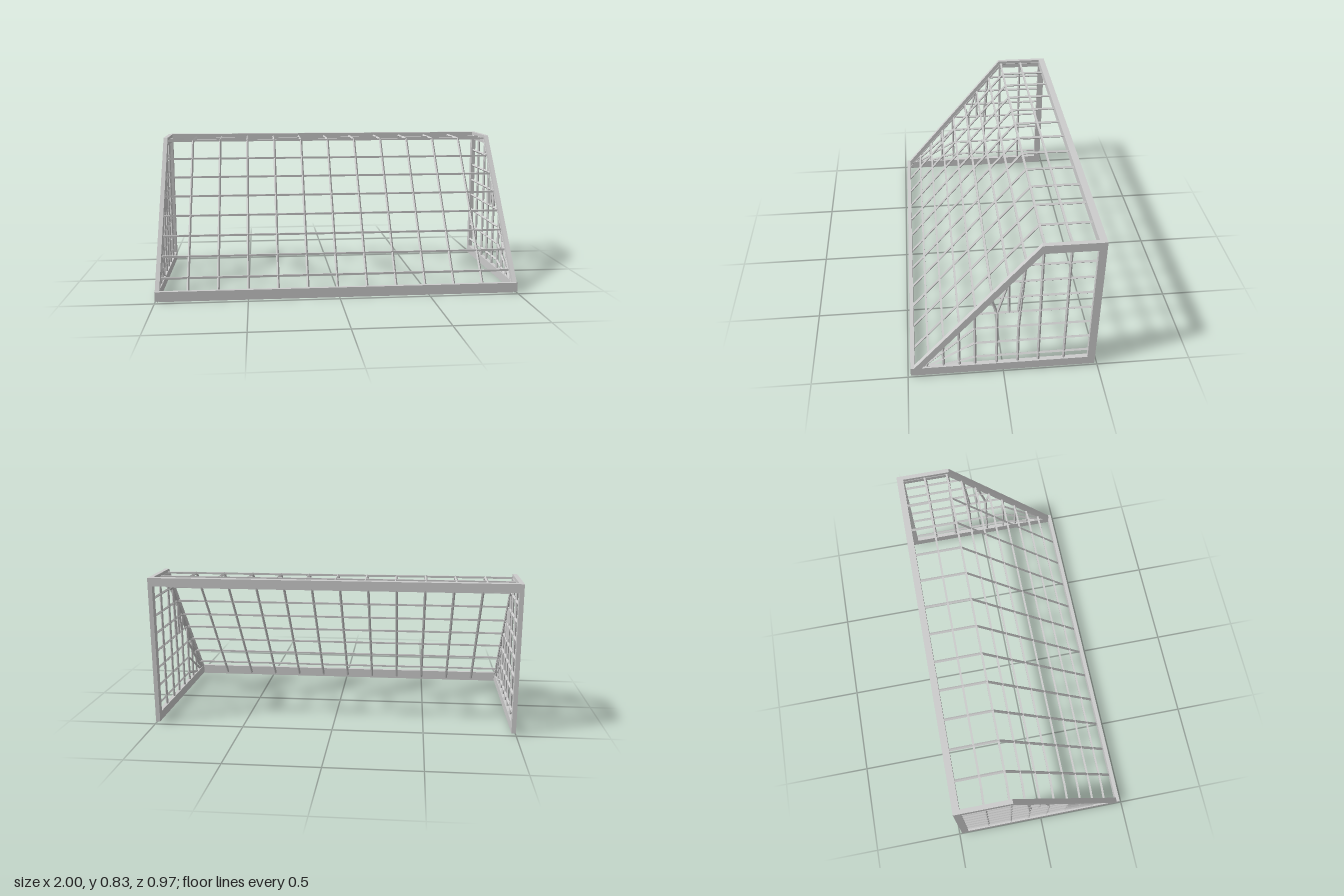
import * as THREE from 'three';
import { mergeGeometries } from 'three/addons/utils/BufferGeometryUtils.js';

const material = new THREE.MeshStandardMaterial({ color: 0xcccccc, flatShading: true });
const T = 0.024; // thickness of the side frames
const NET_X = 0.986; // plane of the side nets
const CORD = 0.0078; // cord radius
const UP = new THREE.Vector3(0, 1, 0);

function add(parent, geometry, name) {
  const mesh = new THREE.Mesh(geometry, material);
  mesh.name = name;
  parent.add(mesh);
  return mesh;
}

// Four-sided cord along a list of [x, y, z] points, turned about its own axis
function cord(points, turn = 0) {
  const pieces = [];
  for (let i = 0; i < points.length - 1; i++) {
    const a = new THREE.Vector3(...points[i]);
    const b = new THREE.Vector3(...points[i + 1]);
    const dir = b.clone().sub(a);
    const g = new THREE.CylinderGeometry(CORD, CORD, dir.length() + 0.004, 4);
    g.rotateY(turn);
    g.applyQuaternion(new THREE.Quaternion().setFromUnitVectors(UP, dir.normalize()));
    const mid = a.add(b).multiplyScalar(0.5);
    pieces.push(g.translate(mid.x, mid.y, mid.z));
  }
  return mergeGeometries(pieces);
}

// Closed side frame, drawn as [z, y] corners
function sideFrameGeometry() {
  const toVec = ([z, y]) => new THREE.Vector2(-z, y);
  const shape = new THREE.Shape([
    [0.485, 0.01], [-0.485, 0.01], [-0.485, 0.83], [-0.175, 0.83], [0.467, 0.06], [0.485, 0.06],
  ].map(toVec));
  shape.holes.push(new THREE.Path([
    [0.425, 0.06], [-0.18, 0.783], [-0.445, 0.783], [-0.445, 0.06],
  ].map(toVec)));
  const g = new THREE.ExtrudeGeometry(shape, { depth: T, bevelEnabled: false });
  return g.rotateY(Math.PI / 2).translate(-T / 2, 0, 0);
}

// Depth of the sloping net at a given height
const slopeZ = (y) => 0.39 - (y - 0.11) * 0.825;

// Side net cords as [z, y] paths
function sideNetPaths() {
  const paths = [];
  // level cords reaching the sloping bar
  for (const y of [0.41, 0.51, 0.61, 0.71]) paths.push([[-0.46, y], [slopeZ(y), y]]);
  // level cords gathered towards the low corner
  paths.push([[-0.46, 0.31], [0.15, 0.31], [0.31, 0.16], [0.42, 0.06]]);
  paths.push([[-0.46, 0.207], [0.15, 0.207], [0.31, 0.11], [0.41, 0.05]]);
  paths.push([[-0.46, 0.107], [0.15, 0.107], [0.31, 0.062], [0.37, 0.04]]);
  // upright cords
  for (const z of [-0.318, -0.183]) paths.push([[z, 0.04], [z, 0.8]]);
  paths.push([[-0.075, 0.04], [-0.075, 0.31], [-0.1, 0.71]]);
  paths.push([[-0.07, 0.41], [-0.1, 0.7]]);
  paths.push([[0.035, 0.04], [0.035, 0.41], [-0.02, 0.61]]);
  paths.push([[0.035, 0.41], [0.07, 0.51]]);
  paths.push([[-0.025, 0.41], [-0.02, 0.6]]);
  for (const [z, top] of [[0.148, 0.41], [0.23, 0.31], [0.312, 0.21], [0.398, 0.1]]) {
    paths.push([[z, 0.04], [z, top]]);
  }
  // loose end under the corner
  paths.push([[0.4, 0.014], [0.474, 0.0082]]);
  return paths;
}

export function createModel() {
  const model = new THREE.Group();
  model.name = 'goal';

  // Frame
  const frame = new THREE.Group();
  frame.name = 'frame';
  model.add(frame);
  const sideGeometry = sideFrameGeometry();
  for (const s of [-1, 1]) {
    const side = add(frame, sideGeometry, s > 0 ? 'leftSideFrame' : 'rightSideFrame');
    side.position.x = s * (1 - T / 2);
  }
  const span = 2 - 2 * T;
  add(frame, new THREE.BoxGeometry(span, 0.046, 0.037), 'crossbar').position.set(0, 0.807, -0.4665);
  add(frame, new THREE.BoxGeometry(span, 0.055, 0.022), 'groundBar').position.set(0, 0.0325, 0.474);

  // Main net: across the top, then down the slope
  const mainCords = [];
  for (let i = -6; i <= 6; i++) {
    const x = Math.abs(i) === 6 ? Math.sign(i) * 0.982 : i * 0.1637 - 0.008;
    mainCords.push(cord([[x, 0.81, -0.46], [x, 0.81, slopeZ(0.81)], [x, 0.02, slopeZ(0.02)]]));
  }
  // level cords, pulled in slightly where they meet the side frames
  const rows = [[0.81, -0.32]];
  for (let y = 0.11; y < 0.85; y += 0.1) rows.push([y, slopeZ(y)]);
  for (const [y, z] of rows) {
    const path = [[-0.985, y, z - 0.004], [-0.89, y, z], [0.89, y, z], [0.985, y, z - 0.004]];
    mainCords.push(cord(path, Math.PI / 4));
  }
  add(model, mergeGeometries(mainCords), 'mainNet');

  // Side nets
  for (const s of [-1, 1]) {
    const cords = sideNetPaths().map((path) => cord(path.map(([z, y]) => [s * NET_X, y, z])));
    add(model, mergeGeometries(cords), s > 0 ? 'leftSideNet' : 'rightSideNet');
  }
  return model;
}
